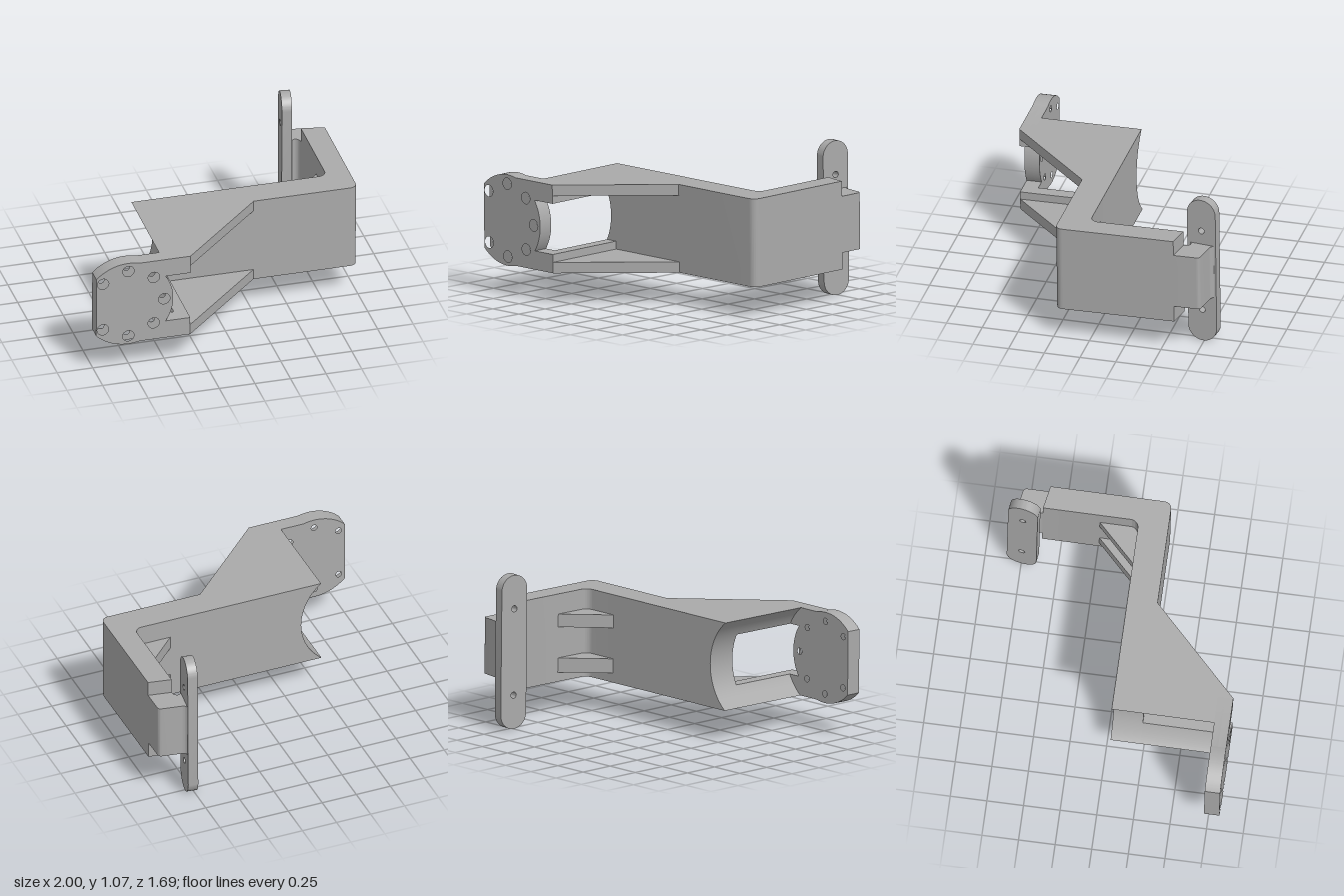
import * as THREE from 'three';
import { toCreasedNormals } from 'three/addons/utils/BufferGeometryUtils.js';

const CX = -0.775, CY = 0.525;      // axis of the round mounting plate
const HALF = 0.305;                 // half height of the bracket
const TOP = CY + HALF, BOTTOM = CY - HALF;

export function createModel() {
  const model = new THREE.Group();
  model.name = 'bracket';
  const body = new THREE.Group();
  body.name = 'bracketBody';
  const grey = new THREE.MeshStandardMaterial({ color: 0xaaaaaa });
  grey.name = 'grey';

  const add = (name, geometry) => {
    const mesh = new THREE.Mesh(toCreasedNormals(geometry, 0.5), grey);
    mesh.name = name;
    body.add(mesh);
    return mesh;
  };
  const extrude = (shape, depth) =>
    new THREE.ExtrudeGeometry(shape, { depth, bevelEnabled: false, curveSegments: 20 });
  // Shape drawn in x,y and extruded from z0 to z1
  const alongZ = (name, shape, z0, z1) =>
    add(name, extrude(shape, z1 - z0).translate(0, 0, z0));
  // Shape drawn in x,z and extruded from y0 to y1
  const alongY = (name, shape, y0, y1) =>
    add(name, extrude(shape, y1 - y0).rotateX(Math.PI / 2).translate(0, y1, 0));
  const polygon = (pts) => new THREE.Shape(pts.map(([x, y]) => new THREE.Vector2(x, y)));
  const hole = (x, y, r) => new THREE.Path().absarc(x, y, r, 0, Math.PI * 2, true);

  // Round mounting plate with two arms and seven counterbored holes
  function plateShape(holeRadius) {
    const R = 0.315, inner = 0.175;
    const aOut = Math.asin(HALF / R), aIn = Math.asin(inner / R);
    const aCut = Math.acos(-0.225 / R);
    const s = new THREE.Shape();
    s.moveTo(-1, CY + R * Math.sin(aCut));
    s.absarc(CX, CY, R, aCut, aOut, true);
    s.lineTo(-0.34, TOP);
    s.lineTo(-0.34, CY + inner);
    s.absarc(CX, CY, R, aIn, -aIn, true);
    s.lineTo(-0.34, CY - inner);
    s.lineTo(-0.34, BOTTOM);
    s.absarc(CX, CY, R, -aOut, -aCut, true);
    s.closePath();
    for (let i = -3; i <= 3; i++) {
      const a = i * Math.PI / 4;
      s.holes.push(hole(CX + 0.252 * Math.cos(a), CY + 0.252 * Math.sin(a), holeRadius));
    }
    return s;
  }
  alongZ('mountingPlateBack', plateShape(0.022), 0.735, 0.785);
  alongZ('mountingPlateFront', plateShape(0.04), 0.785, 0.84);

  // Middle plate with a concave end
  const R2 = 0.39, aEnd = Math.asin(HALF / R2);
  const middle = new THREE.Shape();
  middle.moveTo(0.5, BOTTOM);
  middle.lineTo(0.5, TOP);
  middle.absarc(CX, CY, R2, aEnd, -aEnd, true);
  middle.closePath();
  alongZ('middlePlate', middle, 0.035, 0.24);

  // Upper and lower bars with sloping gussets
  for (const side of [1, -1]) {
    const a = Math.asin(0.175 / R2);
    const bar = new THREE.Shape();
    bar.moveTo(-0.34, CY + side * 0.175);
    bar.lineTo(-0.34, CY + side * HALF);
    bar.absarc(CX, CY, R2, side * aEnd, side * a, side > 0);
    bar.closePath();
    alongZ(side > 0 ? 'upperBar' : 'lowerBar', bar, 0.24, 0.735);

    const y0 = side > 0 ? CY + 0.23 : BOTTOM;
    alongY(side > 0 ? 'upperGusset' : 'lowerGusset',
      polygon([[-0.34, 0.24], [0.27, 0.24], [-0.34, 0.84]]), y0, y0 + 0.075);
  }

  // Rounded elbow and the wall running back
  const elbow = new THREE.Shape();
  elbow.moveTo(0.5, 0.24);
  elbow.lineTo(0.95, 0.24);
  elbow.absarc(0.95, 0.19, 0.05, Math.PI / 2, 0, true);
  elbow.lineTo(1, -0.59);
  elbow.lineTo(0.84, -0.62);
  elbow.lineTo(0.84, -0.02);
  elbow.absarc(0.785, -0.02, 0.055, 0, Math.PI / 2, false);
  elbow.lineTo(0.5, 0.035);
  elbow.closePath();
  alongY('elbowWall', elbow, BOTTOM, TOP);

  // Stiffening ribs inside the elbow
  const rib = polygon([[0.57, 0.04], [0.845, 0.04], [0.845, -0.235]]);
  alongY('upperRib', rib, 0.6, 0.69);
  alongY('lowerRib', rib, 0.285, 0.385);

  // Tongue joining the wall to the flange
  const tongue = new THREE.Shape();
  tongue.moveTo(0.84, -0.62);
  tongue.lineTo(1, -0.59);
  tongue.lineTo(1, -0.745);
  tongue.quadraticCurveTo(1, -0.77, 0.975, -0.775);
  tongue.lineTo(0.85, -0.797);
  tongue.quadraticCurveTo(0.81, -0.803, 0.808, -0.833);
  tongue.lineTo(0.77, -0.8);
  tongue.lineTo(0.76, -0.66);
  tongue.lineTo(0.785, -0.65);
  tongue.quadraticCurveTo(0.8, -0.67, 0.82, -0.66);
  tongue.quadraticCurveTo(0.838, -0.65, 0.84, -0.62);
  alongY('tongue', tongue, 0.335, 0.725);

  // Tall flange with rounded ends and two screw holes
  const r = 0.104, straight = 0.534 - r;
  const flange = new THREE.Shape();
  flange.absarc(0, straight, r, 0, Math.PI, false);
  flange.absarc(0, -straight, r, Math.PI, Math.PI * 2, false);
  flange.closePath();
  flange.holes.push(hole(0, 0.3, 0.022), hole(0, -0.3, 0.022));
  const flangeMesh = add('flange', extrude(flange, 0.07).translate(0, 0, -0.035));
  flangeMesh.position.set(0.762, CY, -0.738);
  flangeMesh.rotation.y = 1.426;

  // Slight lean of the whole bracket about its middle
  body.position.y = -CY;
  const lean = new THREE.Group();
  lean.name = 'leaningBracket';
  lean.position.y = CY;
  lean.rotation.x = 0.012;
  lean.add(body);
  model.add(lean);
  return model;
}
